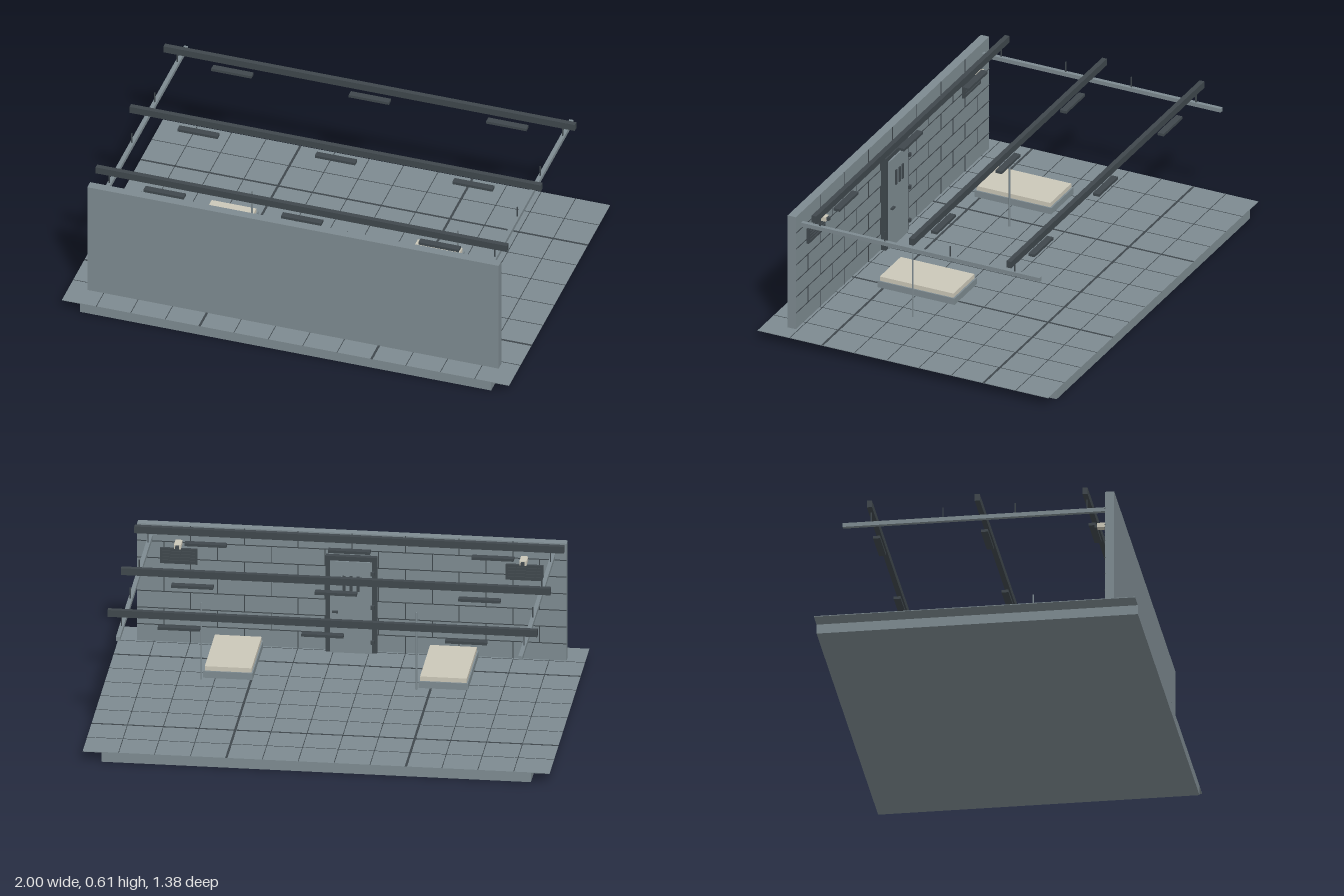
import * as THREE from 'three';

export function createModel() {
  const root = new THREE.Group();
  root.name = 'cellRoom';
  const mat = (name, color) => {
    const m = new THREE.MeshStandardMaterial({ color });
    m.name = name;
    return m;
  };
  const gray = mat('concreteGray', 0x7d8a90);
  const dark = mat('darkSteel', 0x3f474c);
  const cream = mat('creamFabric', 0xcbc7b8);

  // Box given by its minimum and maximum along each axis
  const box = (name, m, x0, x1, y0, y1, z0, z1, parent = root) => {
    const mesh = new THREE.Mesh(new THREE.BoxGeometry(x1 - x0, y1 - y0, z1 - z0), m);
    mesh.position.set((x0 + x1) / 2, (y0 + y1) / 2, (z0 + z1) / 2);
    mesh.name = name;
    parent.add(mesh);
    return mesh;
  };
  const group = (name) => {
    const g = new THREE.Group();
    g.name = name;
    root.add(g);
    return g;
  };

  // Floor slab with a wider tiled sheet on top
  box('floorSlab', gray, -0.92, 0.92, 0, 0.042, -0.69, 0.69);
  box('floorSheet', gray, -1, 1, 0.042, 0.045, -0.69, 0.69);
  const joints = group('tileJoints');
  for (let i = 1; i < 13; i++) {
    const x = -1 + (i * 2) / 13;
    const w = i === 4 || i === 9 ? 0.005 : 0.0015;
    box('tileJoint', dark, x - w, x + w, 0.044, 0.0458, -0.69, 0.69, joints);
  }
  for (let i = 1; i < 9; i++) {
    const z = -0.69 + (i * 1.38) / 9;
    const w = i === 2 || i === 7 ? 0.005 : 0.0015;
    box('tileJoint', dark, -1, 1, 0.044, 0.0458, z - w, z + w, joints);
  }

  // Block wall, with mortar joints in running bond on the inner face
  box('wall', gray, -0.92, 0.92, 0, 0.583, 0.549, 0.588);
  const mortar = group('wallJoints');
  const rows = 7, rowH = 0.538 / rows, brick = 0.23;
  for (let r = 0; r < rows; r++) {
    const y = 0.045 + r * rowH;
    if (r) box('mortarRow', dark, -0.92, 0.92, y - 0.002, y + 0.002, 0.5475, 0.55, mortar);
    for (let x = -0.92 + brick * (r % 2 ? 0.5 : 1); x < 0.91; x += brick) {
      box('mortarEnd', dark, x - 0.002, x + 0.002, y, y + rowH, 0.5475, 0.55, mortar);
    }
  }

  // Door: frame, leaf, barred window, hinges and handle
  const door = group('door');
  for (const s of [-1, 1]) {
    box('doorJamb', dark, s * 0.1 - 0.01, s * 0.1 + 0.01, 0.045, 0.485, 0.525, 0.549, door);
  }
  box('doorLintel', dark, -0.11, 0.11, 0.465, 0.485, 0.525, 0.549, door);
  box('doorLeaf', gray, -0.09, 0.09, 0.045, 0.465, 0.518, 0.549, door);
  for (const x of [-0.03, 0, 0.03]) {
    box('windowBar', dark, x - 0.006, x + 0.006, 0.33, 0.4, 0.512, 0.519, door);
  }
  for (const y of [0.1, 0.26, 0.415]) {
    box('hinge', dark, -0.1, -0.085, y - 0.008, y + 0.008, 0.508, 0.526, door);
  }
  box('doorHandle', dark, 0.055, 0.08, 0.23, 0.238, 0.507, 0.519, door);

  // Wall grilles and small cameras above them
  for (const x of [-0.74, 0.74]) {
    const unit = group('wallUnit');
    box('grille', dark, x - 0.08, x + 0.08, 0.41, 0.48, 0.537, 0.549, unit);
    for (let i = 0; i < 4; i++) {
      const y = 0.424 + i * 0.014;
      box('grilleSlat', dark, x - 0.07, x + 0.07, y - 0.003, y + 0.003, 0.532, 0.538, unit);
    }
    box('cameraBody', cream, x - 0.015, x + 0.015, 0.497, 0.517, 0.49, 0.549, unit);
    box('cameraLens', dark, x - 0.008, x + 0.008, 0.5, 0.514, 0.478, 0.49, unit);
  }

  // Bunks with mattresses, and a slim pole beside each
  for (const x of [-0.4625, 0.4595]) {
    const bunk = group('bunk');
    box('bunkBase', gray, x - 0.106, x + 0.106, 0.13, 0.16, -0.028, 0.338, bunk);
    box('mattress', cream, x - 0.1, x + 0.1, 0.16, 0.18, -0.02, 0.33, bunk);
    const pole = new THREE.Mesh(new THREE.CylinderGeometry(0.004, 0.004, 0.355, 8), gray);
    pole.name = 'pole';
    pole.position.set(x + 0.137, 0.2225, 0.155);
    bunk.add(pole);
  }

  // Ceiling rails and their hangers
  for (const x of [-0.862, 0.862]) {
    box('ceilingRail', gray, x - 0.009, x + 0.009, 0.516, 0.534, -0.585, 0.549);
    for (const z of [-0.463, -0.155, 0.155, 0.463]) {
      box('railHanger', dark, x - 0.0025, x + 0.0025, 0.534, 0.582, z - 0.0025, z + 0.0025);
    }
  }

  // Cross beams with three lamps below each
  for (const z of [-0.463, 0, 0.463]) {
    box('crossBeam', dark, -0.92, 0.92, 0.578, 0.609, z - 0.011, z + 0.011);
    for (const x of [-0.615, 0, 0.615]) {
      box('lamp', dark, x - 0.09, x + 0.09, 0.531, 0.543, z - 0.015, z + 0.015);
    }
  }
  return root;
}
